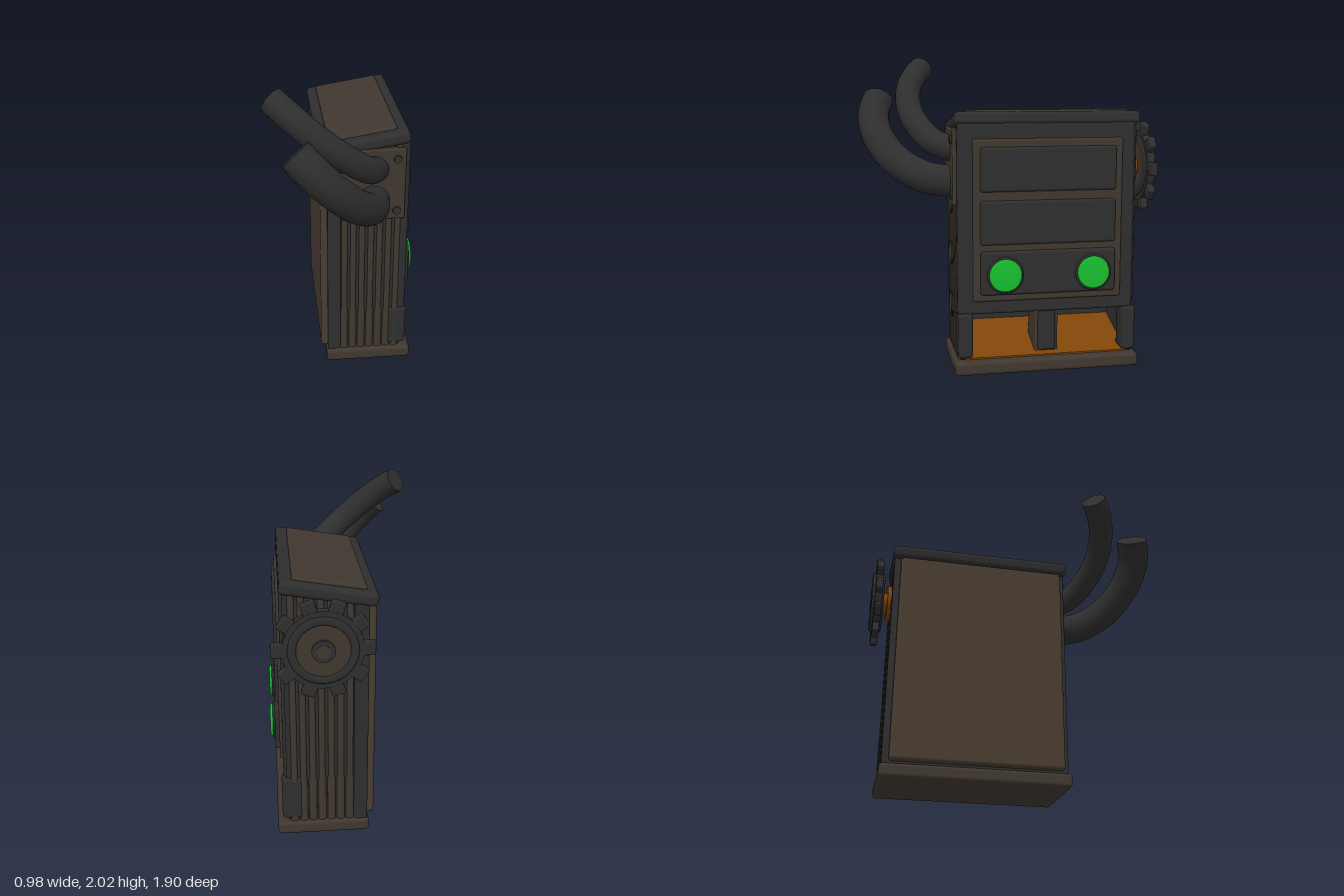
import * as THREE from 'three';
import { RoundedBoxGeometry } from 'three/addons/geometries/RoundedBoxGeometry.js';

const material = (color, side = THREE.FrontSide) => {
  const m = new THREE.MeshStandardMaterial({ color });
  m.side = side;
  return m;
};
const dark = material(0x2e2e2e);
const brown = material(0x40382f);
const tan = material(0x473c30);
const orange = material(0x80450a);
const green = material(0x18c031);

const CZ = -0.225; // middle of the cabinet along z

export function createModel() {
  const model = new THREE.Group();

  const add = (name, geometry, mat, parent = model) => {
    const mesh = new THREE.Mesh(geometry, mat);
    mesh.name = name;
    parent.add(mesh);
    return mesh;
  };

  // Rounded box given by its minimum and maximum corners
  const box = (name, mat, [x0, x1], [y0, y1], [z0, z1], r = 0.015, parent = model) => {
    const mesh = add(name, new RoundedBoxGeometry(x1 - x0, y1 - y0, z1 - z0, 3, r), mat, parent);
    mesh.position.set((x0 + x1) / 2, (y0 + y1) / 2, (z0 + z1) / 2);
    return mesh;
  };

  // Prism with an x-y outline, running along z
  const prism = (name, mat, points, z0, z1) => {
    const shape = new THREE.Shape(points.map(([x, y]) => new THREE.Vector2(x, y)));
    const mesh = add(name, new THREE.ExtrudeGeometry(shape, { depth: z1 - z0, bevelEnabled: false }), mat);
    mesh.position.z = z0;
    return mesh;
  };

  // Base and cabinet body with a sloping top
  box('base', brown, [-0.11, 0.46], [0, 0.09], [-0.825, 0.385], 0.025);
  prism('upperBody', dark, [[-0.1, 0.39], [0.4, 0.39], [0.4, 1.61], [-0.1, 1.52]], -0.795, 0.345);
  box('backWall', dark, [-0.1, -0.03], [0.08, 0.42], [-0.795, 0.345], 0.01);
  box('backPanel', tan, [-0.145, -0.08], [0.1, 1.5], [-0.77, 0.33], 0.02);

  // Sloping roof
  const roof = new THREE.Group();
  roof.name = 'roof';
  roof.position.set(0.135, 1.588, CZ);
  roof.rotation.z = 0.165;
  model.add(roof);
  box('roofCap', dark, [-0.29, 0.285], [-0.042, 0.042], [-0.595, 0.6], 0.03, roof);
  box('roofPanel', brown, [-0.22, 0.215], [0, 0.06], [-0.535, 0.525], 0.015, roof);

  // Side walls with corner posts and vertical ribs, mirrored at both ends
  for (const s of [1, -1]) {
    const end = (a, b) => [CZ + s * a, CZ + s * b].sort((p, q) => p - q);
    box('sideWall', dark, [-0.1, 0.39], [0.08, 0.42], end(0.53, 0.57), 0.01);
    box('cornerPost', dark, [-0.1, -0.015], [0.08, 1.53], end(0.55, 0.587), 0.015);
    box('foot', dark, [0.3, 0.43], [0.105, 0.4], end(0.49, 0.585), 0.025);
    for (let i = 0; i < 7; i++) {
      const x = 0.01 + i * 0.057;
      box('rib', brown, [x - 0.019, x + 0.019], [0.08, 1.535 + x * 0.16], end(0.555, 0.585), 0.013);
      box('lowerRib', brown, [x - 0.024, x + 0.024], [0.08, 0.4], end(0.555, 0.582), 0.012);
    }
  }

  // Control face
  box('facePlate', dark, [0.36, 0.418], [0.39, 1.605], [-0.785, 0.36], 0.02);
  box('faceFrame', brown, [0.39, 0.434], [0.475, 1.505], [-0.7, 0.265], 0.015);
  [0.52, 0.84, 1.175].forEach((y, i) =>
    box('facePanel', dark, [0.4, i ? 0.452 : 0.46], [y, y + 0.28], [-0.655, 0.22], 0.018));

  // Round buttons
  for (const z of [0.065, -0.505]) {
    for (const [name, r, x0, x1, mat] of [
      ['buttonRing', 0.117, 0.43, 0.472, dark],
      ['button', 0.104, 0.44, 0.488, green],
    ]) {
      const profile = [[0, x0], [r, x0], [r, x1 - 0.008], [r - 0.008, x1], [0, x1]];
      const mesh = add(name, new THREE.LatheGeometry(profile.map(p => new THREE.Vector2(...p)), 40), mat);
      mesh.rotation.z = -Math.PI / 2;
      mesh.position.set(0, 0.65, z);
    }
  }

  // Dispensing bay: sloping tray, divider and glowing ceiling
  prism('tray', orange, [[-0.03, 0.085], [0.4, 0.085], [0.4, 0.1], [-0.03, 0.23]], -0.76, 0.31);
  box('dividerCore', brown, [0.15, 0.36], [0.1, 0.4], [-0.302, -0.148], 0.012);
  box('dividerFront', dark, [0.22, 0.385], [0.12, 0.4], [-0.282, -0.168], 0.015);
  for (const z of [[-0.75, -0.3], [-0.15, 0.3]])
    box('bayLight', green, [-0.02, 0.37], [0.38, 0.4], z, 0.004);

  // Pipe mounting plate with bolts
  box('pipePlate', brown, [-0.015, 0.388], [1.09, 1.565], [0.34, 0.386], 0.01);
  for (const [x, y] of [[0.335, 1.5], [0.04, 1.5], [0.04, 1.15], [0.335, 1.15]]) {
    const bolt = add('bolt', new THREE.CylinderGeometry(0.025, 0.028, 0.016, 20), dark);
    bolt.rotation.x = Math.PI / 2;
    bolt.position.set(x, y, 0.39);
  }

  // Curved exhaust pipes with closed ends
  const pipe = (name, radius, points) => {
    const curve = new THREE.CatmullRomCurve3(points.map(p => new THREE.Vector3(...p)));
    add(name, new THREE.TubeGeometry(curve, 48, radius, 32), dark);
    const cap = add(name + 'End', new THREE.CircleGeometry(radius, 32), dark);
    cap.position.copy(curve.getPoint(1));
    cap.quaternion.setFromUnitVectors(new THREE.Vector3(0, 0, 1), curve.getTangent(1));
  };
  pipe('upperPipe', 0.083, [
    [0.21, 1.425, 0.34], [0.145, 1.475, 0.48], [-0.05, 1.635, 0.6],
    [-0.23, 1.785, 0.61], [-0.35, 1.885, 0.56], [-0.43, 1.945, 0.5],
  ]);
  pipe('lowerPipe', 0.103, [
    [0.195, 1.215, 0.34], [0.155, 1.25, 0.54], [0.05, 1.35, 0.715],
    [-0.1, 1.505, 0.825], [-0.22, 1.635, 0.845], [-0.315, 1.735, 0.808],
  ]);

  // Gear wheel on its axle, built along +y and turned to face -z
  const gear = new THREE.Group();
  gear.name = 'gear';
  gear.position.set(0.175, 1.3, -0.8);
  gear.rotation.x = -Math.PI / 2;
  model.add(gear);
  const disc = (name, mat, r, y0, y1) => {
    const mesh = add(name, new THREE.CylinderGeometry(r, r, y1 - y0, 40), mat, gear);
    mesh.position.y = (y0 + y1) / 2;
  };
  disc('axleFlange', orange, 0.12, 0, 0.035);
  disc('axle', orange, 0.07, 0, 0.07);
  disc('gearDisc', dark, 0.235, 0.075, 0.125);
  const rim = [[0.155, 0.062], [0.195, 0.062], [0.203, 0.07], [0.203, 0.132], [0.195, 0.142], [0.165, 0.142], [0.155, 0.132], [0.155, 0.062]];
  add('gearRim', new THREE.LatheGeometry(rim.map(p => new THREE.Vector2(...p)), 40), dark, gear);
  disc('gearFace', brown, 0.157, 0.065, 0.132);
  disc('hub', dark, 0.068, 0.06, 0.143);
  disc('hubCap', brown, 0.04, 0.13, 0.146);
  for (let i = 0; i < 10; i++) {
    const a = (i / 10) * Math.PI * 2;
    const tooth = add('tooth', new RoundedBoxGeometry(0.1, 0.046, 0.085, 2, 0.01), dark, gear);
    tooth.position.set(Math.cos(a) * 0.248, 0.1, Math.sin(a) * 0.248);
    tooth.rotation.y = -a;
  }

  return model;
}
